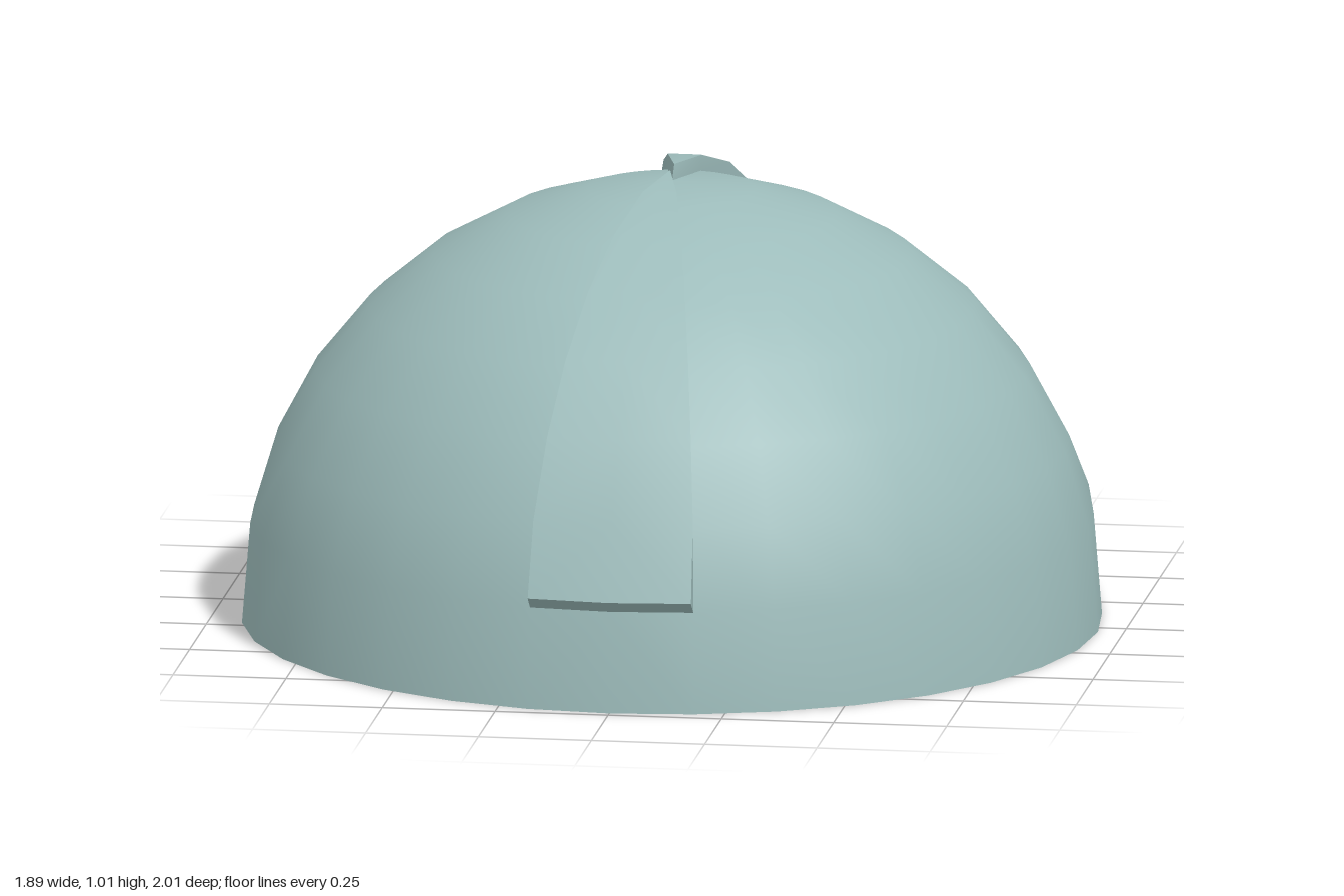
import * as THREE from 'three';
import { toCreasedNormals } from 'three/addons/utils/BufferGeometryUtils.js';

const R = 0.943, CY = 0.04, CZ = 0.04, STEP = Math.PI / 16;
const CENTRE = new THREE.Vector3(0, CY, CZ);

// Shell point: i runs round from +x towards the back, j climbs from the base to the crown
function shellPoint(i, j) {
  const a = i * STEP, e = j * STEP;
  const p = new THREE.Vector3(
    j === 8 ? 0 : R * Math.cos(e) * Math.cos(a),
    j === 0 ? 0 : CY + R * Math.sin(e),
    j === 8 ? CZ : CZ - R * Math.cos(e) * Math.sin(a));
  // The back flares out into a neck brim
  if (i >= 2 && i <= 14) {
    if (j === 0) p.z -= 0.08;
    if (j === 1) p.z -= 0.1 + 0.02 * Math.sin(a);
    if (j === 2) { p.y -= 0.1; p.z += 0.04; }
  }
  return p;
}

// Point on the raised face of a crest strip
function raisedPoint(i, j) {
  const p = shellPoint(i, j), back = i < 16;
  if (j === 8) return p.add(new THREE.Vector3(0, 0.03, back ? -0.03 : 0.03));
  if (j === 1) return back ? p : p.add(new THREE.Vector3(0, 0.028, 0.036));
  const out = p.clone().sub(CENTRE).normalize();
  return p.addScaledVector(out, 0.035);
}

// Collects triangles, dropping collapsed ones
class Surface {
  constructor() { this.points = []; }
  tri(a, b, c) {
    if (a.distanceTo(b) < 1e-5 || b.distanceTo(c) < 1e-5 || c.distanceTo(a) < 1e-5) return;
    this.points.push(a, b, c);
  }
  quad(a, b, c, d, flip = false) {
    if (flip) { this.tri(a, b, c); this.tri(a, c, d); }
    else { this.tri(a, b, d); this.tri(b, c, d); }
  }
  patch(fn, i0, i1, j0, j1) {
    for (let j = j0; j < j1; j++)
      for (let i = i0; i < i1; i++)
        this.quad(fn(i, j), fn(i + 1, j), fn(i + 1, j + 1), fn(i, j + 1), i >= 8 && i < 24);
  }
  geometry() {
    return toCreasedNormals(new THREE.BufferGeometry().setFromPoints(this.points), 1.1);
  }
}

function shellGeometry() {
  const s = new Surface();
  const wrapped = (i, j) => shellPoint(i % 32, j);
  s.patch(wrapped, 0, 32, 0, 8);
  // Flat underside
  const middle = new THREE.Vector3(0, 0, 0);
  for (let i = 0; i < 32; i++) s.tri(middle, wrapped(i + 1, 0), wrapped(i, 0));
  return s.geometry();
}

function stripGeometry(mid) {
  const s = new Surface(), l = mid - 1, r = mid + 1;
  s.patch(raisedPoint, l, r, 1, 8);
  // Side walls
  for (let j = 1; j < 8; j++) {
    s.quad(shellPoint(l, j), raisedPoint(l, j), raisedPoint(l, j + 1), shellPoint(l, j + 1));
    s.quad(raisedPoint(r, j), shellPoint(r, j), shellPoint(r, j + 1), raisedPoint(r, j + 1));
  }
  // Lower end
  for (let i = l; i < r; i++)
    s.quad(shellPoint(i, 1), shellPoint(i + 1, 1), raisedPoint(i + 1, 1), raisedPoint(i, 1));
  return s.geometry();
}

export function createModel() {
  const model = new THREE.Group();
  model.name = 'helmet';
  const paint = (color) => new THREE.MeshStandardMaterial({ color });
  const shellPaint = paint(0x9dbcbb);
  const add = (name, geometry, material, parent = model) => {
    const mesh = new THREE.Mesh(geometry, material);
    mesh.name = name;
    parent.add(mesh);
    return mesh;
  };

  add('shell', shellGeometry(), shellPaint);
  add('frontStrip', stripGeometry(24), shellPaint);
  add('backStrip', stripGeometry(8), shellPaint);

  // Round lamp above the brim, facing backwards
  const lamp = new THREE.Group();
  lamp.name = 'lamp';
  lamp.position.set(-0.007, 0.445, -0.77);
  lamp.rotation.x = -Math.PI / 2;
  model.add(lamp);
  const profile = [[0, 0], [0.136, 0], [0.136, 0.11], [0.105, 0.11], [0.105, 0.09]]
    .map(([x, y]) => new THREE.Vector2(x, y));
  const housing = new THREE.LatheGeometry(profile, 32);
  add('lampHousing', toCreasedNormals(housing, 0.6), paint(0x3c3c3c), lamp);
  const lens = add('lampLens', new THREE.CircleGeometry(0.106, 32), paint(0x7a7a40), lamp);
  lens.rotation.x = -Math.PI / 2;
  lens.position.y = 0.095;

  return model;
}
